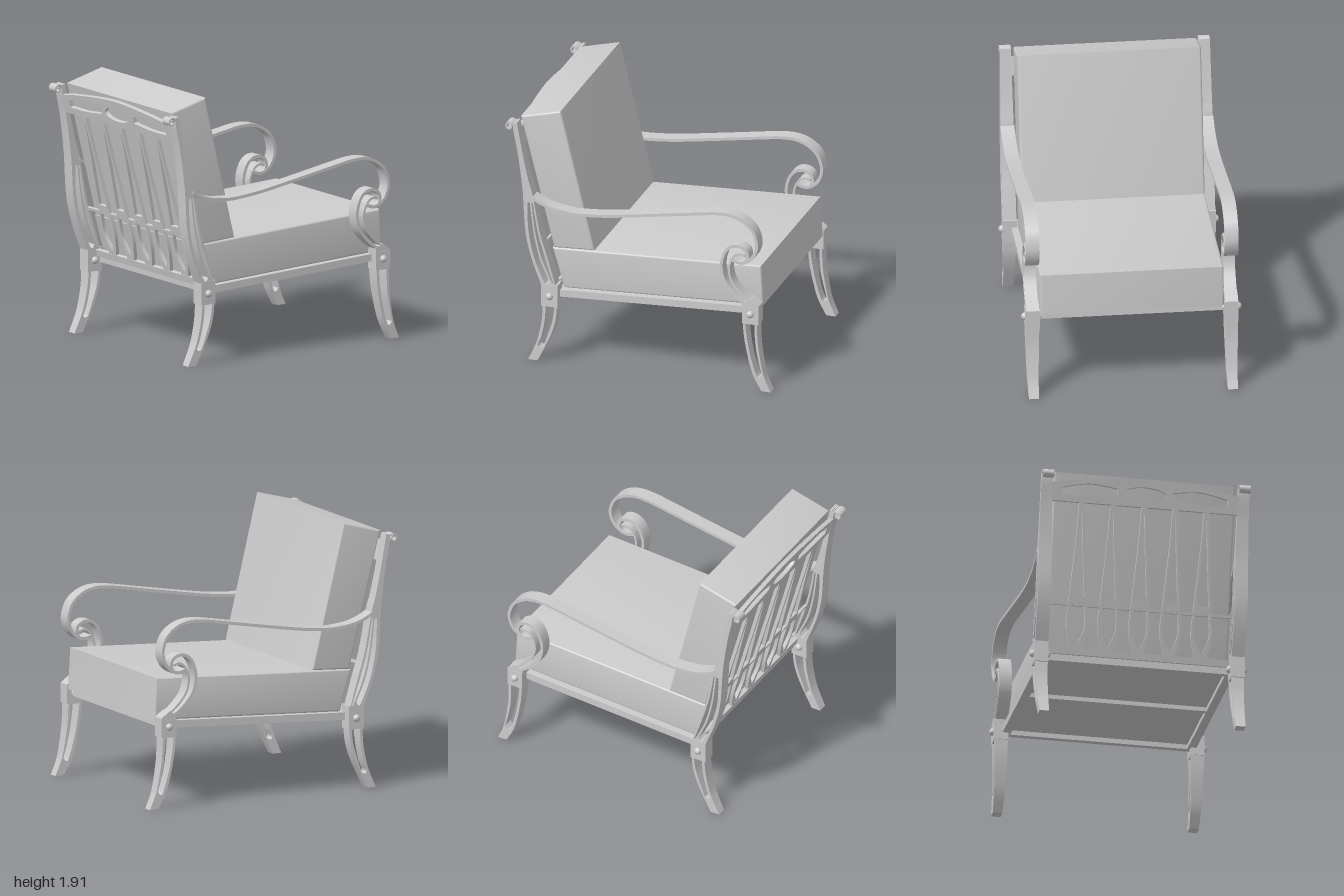
import * as THREE from 'three';
import { toCreasedNormals } from 'three/addons/utils/BufferGeometryUtils.js';

const material = new THREE.MeshStandardMaterial({ color: 0xcccccc, side: THREE.DoubleSide });
const vec = (pts) => pts.map(([x, y]) => new THREE.Vector2(x, y));
const curve = (pts, n = 20) => new THREE.SplineCurve(vec(pts)).getPoints(n);

function add(parent, name, geometry, x = 0, y = 0, z = 0) {
  const mesh = new THREE.Mesh(geometry, material);
  mesh.name = name;
  mesh.position.set(x, y, z);
  parent.add(mesh);
  return mesh;
}

// Extrude a profile, centred on z = 0
function slab(shape, depth) {
  const geo = new THREE.ExtrudeGeometry(shape, { depth, bevelEnabled: false, curveSegments: 20 });
  geo.translate(0, 0, -depth / 2);
  return toCreasedNormals(geo, 0.6);
}

// Outline made of two smooth edges
const between = (a, b) => [...curve(a), ...curve(b)];

// Narrow an extrusion in z by a rule of height
function taper(geo, halfWidth) {
  const p = geo.attributes.position;
  for (let i = 0; i < p.count; i++) p.setZ(i, Math.sign(p.getZ(i)) * halfWidth(p.getY(i)));
  return geo;
}

// Flat strip of metal following a curve
function ribbon(pts, thickness, depth, n = 90) {
  const path = new THREE.SplineCurve(vec(pts));
  const a = [], b = [];
  for (let i = 0; i <= n; i++) {
    const p = path.getPoint(i / n), t = path.getTangent(i / n);
    const nx = -t.y * thickness / 2, ny = t.x * thickness / 2;
    a.push(new THREE.Vector2(p.x + nx, p.y + ny));
    b.unshift(new THREE.Vector2(p.x - nx, p.y - ny));
  }
  return slab(new THREE.Shape([...a, ...b]), depth);
}

function holed(outline, ...holes) {
  const s = new THREE.Shape(outline);
  holes.forEach((h) => s.holes.push(new THREE.Path(h)));
  return s;
}

function cushion(corners) {
  const depth = 1.28;
  const geo = new THREE.ExtrudeGeometry(new THREE.Shape(vec(corners)), {
    depth, bevelSize: 0.015, bevelThickness: 0.015, bevelOffset: -0.015, bevelSegments: 4 });
  geo.translate(0, 0, -depth / 2);
  return toCreasedNormals(geo, 0.6);
}

function sideFrame() {
  const side = new THREE.Group();
  side.name = 'sideFrame';

  // Back post with two long slots
  const post = holed(
    between(
      [[-0.93, 1.815], [-0.928, 1.75], [-0.892, 1.57], [-0.857, 1.3], [-0.837, 1], [-0.79, 0.79], [-0.715, 0.59]],
      [[-0.595, 0.55], [-0.668, 0.8], [-0.728, 1], [-0.78, 1.27], [-0.812, 1.38], [-0.855, 1.57], [-0.902, 1.82]]),
    between(
      [[-0.822, 1.22], [-0.813, 1], [-0.768, 0.79], [-0.692, 0.615], [-0.67, 0.605]],
      [[-0.655, 0.63], [-0.73, 0.8], [-0.776, 1], [-0.803, 1.22]]),
    between(
      [[-0.79, 1.22], [-0.763, 1], [-0.714, 0.8], [-0.635, 0.62]],
      [[-0.62, 0.6], [-0.686, 0.8], [-0.744, 1], [-0.782, 1.22]]));
  add(side, 'backPost', taper(slab(post, 0.1), (y) => (y < 1.2 ? 0.047 : 0.047 - (y - 1.2) * 0.012)));

  // Small scroll on top of the post
  const roll = [[-0.914, 1.82], [-0.924, 1.785]];
  for (let i = 0; i <= 14; i++) {
    const a = 0.1 + i * 0.58, r = 0.034 - i * 0.0018;
    roll.push([-0.96 + r * Math.cos(a), 1.786 + r * Math.sin(a)]);
  }
  add(side, 'postScroll', ribbon(roll, 0.011, 0.08));

  // Joint blocks with round bolt heads
  for (const [name, x, y, h, by] of [['backBlock', -0.655, 0.52, 0.17, 0.515], ['frontBlock', 0.852, 0.58, 0.13, 0.59]]) {
    add(side, name, new THREE.BoxGeometry(0.122, h, 0.1), x, y);
    for (const s of [-1, 1]) add(side, 'bolt', new THREE.SphereGeometry(0.027, 20, 14), x, by, s * 0.05);
  }
  add(side, 'frontBlockCap', slab(new THREE.Shape(vec([[0.79, 0.64], [0.913, 0.64], [0.913, 0.655], [0.85, 0.7], [0.79, 0.675]])), 0.095));

  // Curved legs with a tall opening
  const legWidth = (y) => 0.035 + Math.min(y / 0.5, 1) * 0.013;
  const backLeg = holed(
    between(
      [[-0.705, 0.445], [-0.715, 0.32], [-0.742, 0.19], [-0.77, 0.11], [-0.82, 0]],
      [[-0.75, 0], [-0.695, 0.11], [-0.645, 0.22], [-0.612, 0.33], [-0.6, 0.445]]),
    between(
      [[-0.685, 0.435], [-0.693, 0.32], [-0.72, 0.19], [-0.745, 0.125], [-0.73, 0.103]],
      [[-0.705, 0.115], [-0.668, 0.22], [-0.634, 0.33], [-0.62, 0.435]]));
  const frontLeg = holed(
    between(
      [[0.795, 0.52], [0.805, 0.4], [0.83, 0.26], [0.868, 0.12], [0.93, 0]],
      [[1, 0], [0.95, 0.12], [0.917, 0.29], [0.905, 0.4], [0.902, 0.52]]),
    between(
      [[0.813, 0.512], [0.826, 0.4], [0.852, 0.26], [0.893, 0.12], [0.915, 0.1]],
      [[0.936, 0.125], [0.898, 0.29], [0.886, 0.4], [0.882, 0.512]]));
  add(side, 'backLeg', taper(slab(backLeg, 0.1), legWidth));
  add(side, 'frontLeg', taper(slab(frontLeg, 0.1), legWidth));

  // Sweeping armrest, curling over and down into its support
  add(side, 'armrest', ribbon([
    [-0.79, 1.262], [-0.72, 1.225], [-0.63, 1.195], [-0.52, 1.18], [-0.42, 1.178], [-0.2, 1.2], [0.17, 1.262],
    [0.49, 1.318], [0.6, 1.334], [0.7, 1.333], [0.79, 1.303], [0.867, 1.235], [0.9, 1.13], [0.877, 1.043],
    [0.825, 0.99], [0.77, 0.975], [0.72, 0.99], [0.71, 1.0]], 0.022, 0.1, 120));
  add(side, 'armSupportOuter', ribbon([
    [0.82, 0.66], [0.73, 0.73], [0.657, 0.82], [0.632, 0.93], [0.655, 1.03], [0.7, 1.085], [0.76, 1.1],
    [0.815, 1.075], [0.83, 1.02], [0.805, 0.98], [0.76, 0.975]], 0.022, 0.09));
  add(side, 'armSupportInner', ribbon([
    [0.9, 0.65], [0.8, 0.72], [0.72, 0.81], [0.69, 0.9], [0.7, 0.97], [0.735, 1.025], [0.775, 1.04],
    [0.81, 1.03]], 0.016, 0.09));
  return side;
}

function backPanel() {
  // Flat panel: local x runs across the chair, local y up the slope
  const panel = new THREE.Group();
  panel.name = 'backPanel';
  panel.position.set(-0.622, 0.55, 0);
  panel.rotation.set(0, -Math.PI / 2, 0.239, 'ZYX');

  // Arched crest rail with an oval and two side openings
  const oval = new THREE.EllipseCurve(0, 1.195, 0.15, 0.05).getPoints(32);
  const slot = (s) => between(
    [[s * 0.6, 1.15], [s * 0.4, 1.15], [s * 0.2, 1.17]],
    [[s * 0.2, 1.22], [s * 0.4, 1.24], [s * 0.6, 1.2]]);
  const crest = holed(
    between([[-0.68, 1.1], [0, 1.1], [0.68, 1.1]],
      [[0.68, 1.23], [0.45, 1.265], [0, 1.3], [-0.45, 1.265], [-0.68, 1.23]]),
    oval, slot(1), slot(-1));
  add(panel, 'crestRail', slab(crest, 0.03));
  add(panel, 'lowerRail', new THREE.BoxGeometry(1.34, 0.05, 0.03), 0, 0.02, 0);
  add(panel, 'middleRail', new THREE.BoxGeometry(1.34, 0.02, 0.02), 0, 0.36, 0);

  // Pierced slats, slim at the top and wide at the foot
  const slat = holed(
    between([[-0.02, 1.11], [-0.035, 0.8], [-0.065, 0.4], [-0.075, 0.2], [-0.04, 0.03]],
      [[0.04, 0.03], [0.075, 0.2], [0.065, 0.4], [0.035, 0.8], [0.02, 1.11]]),
    between([[-0.003, 1.05], [-0.018, 0.8], [-0.045, 0.42]], [[0.045, 0.42], [0.018, 0.8], [0.003, 1.05]]),
    between([[-0.047, 0.36], [-0.056, 0.2], [0, 0.075]], [[0.01, 0.08], [0.056, 0.2], [0.047, 0.36]]));
  const slatGeo = slab(slat, 0.025);
  for (let i = -2; i <= 2; i++) add(panel, 'slat', slatGeo, i * 0.225);
  return panel;
}

function seatFrame() {
  const frame = new THREE.Group();
  frame.name = 'seatFrame';
  frame.position.set(0.13, 0.561, 0);
  frame.rotation.z = 0.0507;
  for (const s of [-1, 1]) {
    add(frame, 'sideRail', new THREE.BoxGeometry(1.46, 0.053, 0.06), 0, 0, s * 0.67);
    add(frame, 'endRail', new THREE.BoxGeometry(0.045, 0.053, 1.34), s * 0.72, 0, 0);
  }
  add(frame, 'crossBar', new THREE.BoxGeometry(0.04, 0.035, 1.3), 0, -0.005, 0);
  add(frame, 'seatPanel', new THREE.BoxGeometry(1.42, 0.016, 1.3), 0, 0.016, 0);
  return frame;
}

export function createModel() {
  const chair = new THREE.Group();
  chair.name = 'armchair';
  for (const s of [-1, 1]) {
    const side = sideFrame();
    side.position.z = s * 0.71;
    chair.add(side);
  }
  chair.add(backPanel(), seatFrame());
  add(chair, 'seatCushion', cushion([[-0.583, 0.55], [0.914, 0.626], [0.897, 0.928], [-0.668, 0.848]]));
  add(chair, 'backCushion', cushion([[-0.657, 0.85], [-0.355, 0.868], [-0.608, 1.912], [-0.907, 1.832]]));
  return chair;
}
